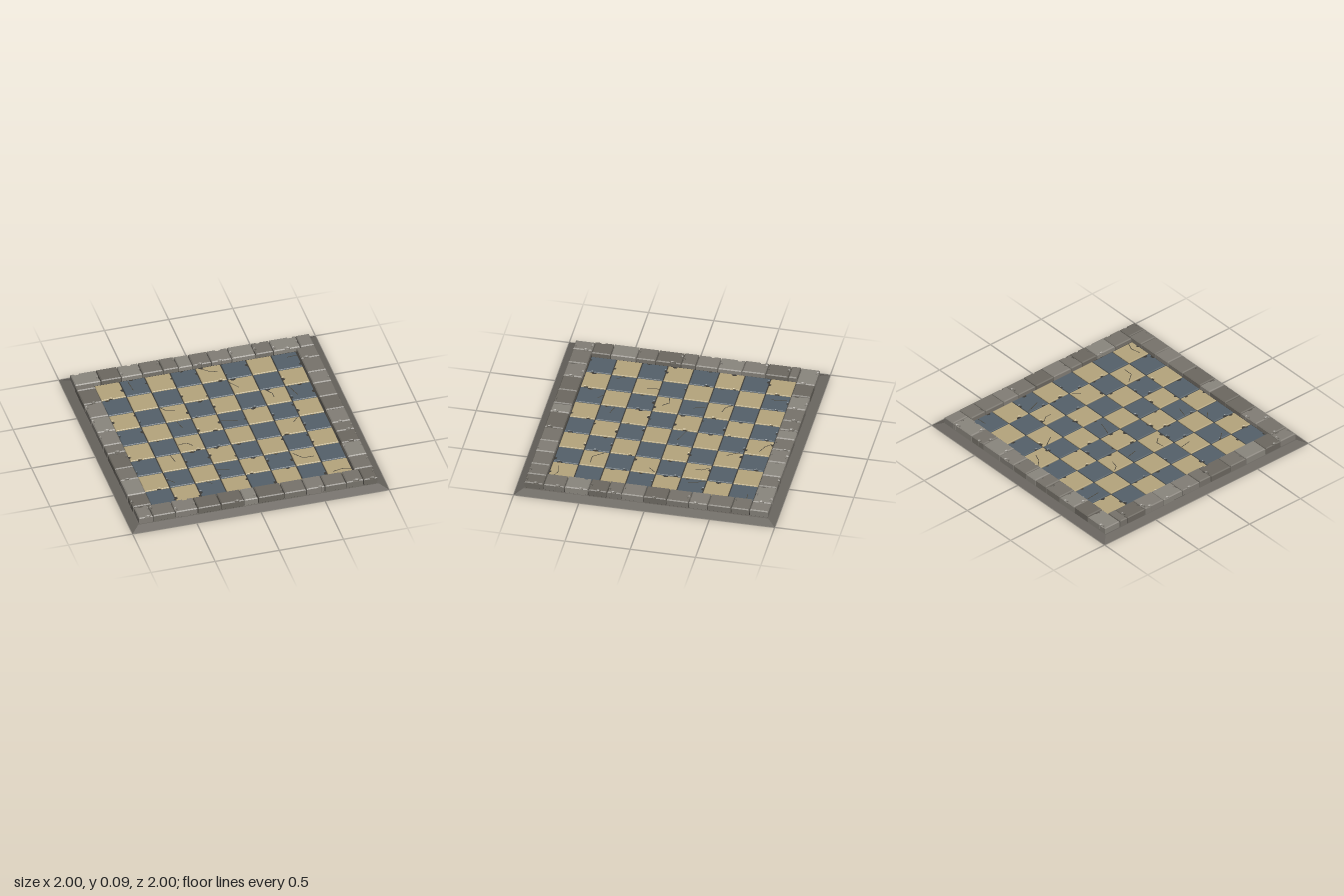
import * as THREE from 'three';

const BASE_TOP = 0.028, STONE_TOP = 0.087, TILE_TOP = 0.056;

// Small seeded generator for chips and shade variation
let seed = 11;
const rnd = () => {
  seed = (seed * 16807) % 2147483647;
  return seed / 2147483647;
};
const paint = (color) => new THREE.MeshStandardMaterial({ color, flatShading: true });

// Rectangle outline with small rounded bites taken out of some sides
function chippedShape(w, d, chance) {
  const corners = [[-w / 2, -d / 2], [w / 2, -d / 2], [w / 2, d / 2], [-w / 2, d / 2]];
  const pts = [];
  corners.forEach(([x, y], i) => {
    const [nx, ny] = corners[(i + 1) % 4];
    const len = Math.hypot(nx - x, ny - y), ux = (nx - x) / len, uy = (ny - y) / len;
    pts.push(new THREE.Vector2(x, y));
    if (rnd() > chance || len < 0.09) return;
    const r = 0.012 + 0.01 * rnd();
    const c = 0.035 + (len - 0.07) * rnd();
    for (let k = 0; k <= 4; k++) {
      const a = (k / 4) * Math.PI;
      const along = c - r * Math.cos(a), into = r * 0.9 * Math.sin(a);
      pts.push(new THREE.Vector2(x + ux * along - uy * into, y + uy * along + ux * into));
    }
  });
  return new THREE.Shape(pts);
}

// Worn block: a plain core with a chipped, bevelled cap on top
function block(name, x0, x1, z0, z1, y0, y1, bevel, chip, material) {
  const g = new THREE.Group();
  g.name = name;
  const w = x1 - x0, d = z1 - z0, ledge = y1 - 0.013;
  const core = new THREE.Mesh(new THREE.BoxGeometry(w - 0.004, ledge - y0, d - 0.004), material);
  core.name = 'blockCore';
  core.position.y = (y0 + ledge) / 2;
  const depth = y1 - y0 - 2 * bevel;
  const geo = new THREE.ExtrudeGeometry(chippedShape(w, d, chip), {
    depth, bevelEnabled: true, bevelSegments: 1, bevelSize: bevel, bevelThickness: bevel, bevelOffset: -bevel,
  });
  geo.rotateX(-Math.PI / 2);
  const cap = new THREE.Mesh(geo, material);
  cap.name = 'chippedCap';
  cap.position.y = y0 + bevel;
  g.add(core, cap);
  g.position.set((x0 + x1) / 2, 0, (z0 + z1) / 2);
  return g;
}

export function createModel() {
  seed = 11;
  const model = new THREE.Group();
  model.name = 'checkeredStoneFloor';

  // Sloped base plate
  const baseGeo = new THREE.CylinderGeometry(0.937 * Math.SQRT2, Math.SQRT2, BASE_TOP, 4);
  baseGeo.rotateY(Math.PI / 4);
  const base = new THREE.Mesh(baseGeo, paint(0x69655f));
  base.name = 'basePlate';
  base.position.y = BASE_TOP / 2;
  model.add(base);

  // Dark mortar bed beneath tiles and stones
  const mortar = new THREE.Mesh(new THREE.BoxGeometry(1.84, 0.02, 1.84), paint(0x3d3a36));
  mortar.name = 'mortarBed';
  mortar.position.y = BASE_TOP + 0.008;
  model.add(mortar);

  // Eight by eight checkered tiles
  const tan = paint(0xb5a57d), slate = paint(0x55616a);
  const tiles = new THREE.Group();
  tiles.name = 'tiles';
  const start = -0.787, pitch = 0.1967, gap = 0.004;
  for (let row = 0; row < 8; row++) {
    for (let col = 0; col < 8; col++) {
      const x = start + col * pitch, z = start + row * pitch;
      tiles.add(block('tile', x + gap, x + pitch - gap, z + gap, z + pitch - gap,
        BASE_TOP, TILE_TOP, 0.004, 0.3, (row + col) % 2 ? slate : tan));
    }
  }
  model.add(tiles);

  // Border stones, given by their joints along each side
  const greys = [0x6c6860, 0x77736b, 0x827e76, 0x8a867e].map(paint);
  const border = new THREE.Group();
  border.name = 'borderStones';
  const back = [-0.933, -0.73, -0.57, -0.405, -0.245, -0.125, -0.015, 0.13, 0.29, 0.475, 0.615, 0.825, 0.933];
  const front = [-0.933, -0.82, -0.645, -0.47, -0.29, -0.11, 0, 0.205, 0.375, 0.52, 0.685, 0.82, 0.933];
  const left = [-0.79, -0.65, -0.47, -0.325, -0.155, 0.02, 0.19, 0.3, 0.445, 0.625, 0.787];
  const right = [-0.79, -0.72, -0.545, -0.365, -0.18, -0.01, 0.1, 0.295, 0.445, 0.64, 0.787];
  const course = (name, joints, lo, hi, alongX) => {
    for (let i = 0; i + 1 < joints.length; i++) {
      const a = joints[i] + 0.003, b = joints[i + 1] - 0.003;
      const span = alongX ? [a, b, lo, hi] : [lo, hi, a, b];
      const top = STONE_TOP - 0.004 * rnd();
      border.add(block(name, ...span, BASE_TOP, top, 0.007, 0.35, greys[Math.floor(rnd() * 4)]));
    }
  };
  course('backStone', back, -0.935, -0.794, true);
  course('frontStone', front, 0.79, 0.933, true);
  course('leftStone', left, 0.79, 0.933, false);
  course('rightStone', right, -0.935, -0.794, false);
  model.add(border);

  // Hairline cracks: each path is a run of x, z points
  const crackPaths = [
    [-0.53, -0.77, -0.52, -0.65], [0.04, -0.77, 0.08, -0.73, 0.15, -0.7], [0.7, -0.73, 0.78, -0.735],
    [0.19, -0.56, 0.25, -0.47], [-0.385, -0.38, -0.35, -0.335, -0.29, -0.32],
    [0.43, -0.385, 0.47, -0.33, 0.47, -0.28], [0.61, -0.385, 0.65, -0.26],
    [-0.315, -0.185, -0.295, -0.1], [0.01, -0.11, 0.13, -0.07],
    [-0.385, 0.1, -0.32, 0.09, -0.28, 0.135], [0.525, 0.06, 0.57, 0.01], [-0.48, 0.2, -0.465, 0.29],
    [-0.19, 0.475, -0.1, 0.5], [-0.585, 0.49, -0.54, 0.54], [0.41, 0.435, 0.47, 0.51, 0.55, 0.51],
    [-0.315, 0.595, -0.27, 0.63], [0.64, 0.735, 0.715, 0.72, 0.78, 0.745],
  ];
  const crackPaint = paint(0x4a463c);
  const cracks = new THREE.Group();
  cracks.name = 'cracks';
  for (const p of crackPaths) {
    for (let i = 0; i + 3 < p.length; i += 2) {
      const dx = p[i + 2] - p[i], dz = p[i + 3] - p[i + 1];
      const crack = new THREE.Mesh(new THREE.BoxGeometry(Math.hypot(dx, dz), 0.002, 0.005), crackPaint);
      crack.name = 'crack';
      crack.position.set(p[i] + dx / 2, TILE_TOP, p[i + 1] + dz / 2);
      crack.rotation.y = -Math.atan2(dz, dx);
      cracks.add(crack);
    }
  }
  model.add(cracks);
  return model;
}
